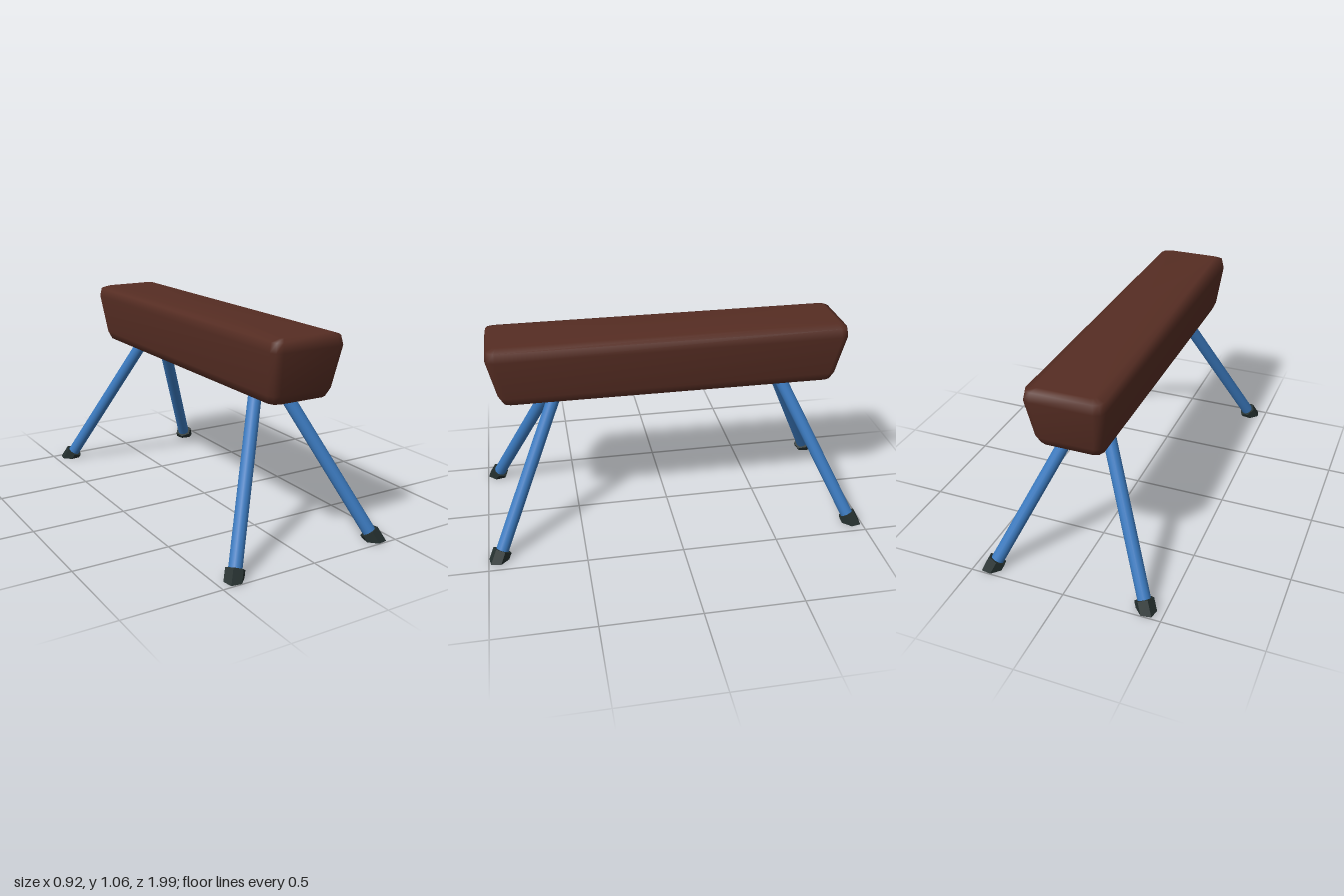
import * as THREE from 'three';

const leather = new THREE.MeshStandardMaterial({ color: 0x562d23 });
leather.name = 'brown leather';
const paint = new THREE.MeshStandardMaterial({ color: 0x3b7abf });
paint.name = 'blue paint';
const rubber = new THREE.MeshStandardMaterial({ color: 0x25302f, flatShading: true });
rubber.name = 'dark rubber';

// Padded body: rounded rectangles stacked from bottom to top, [y, halfX, halfZ, cornerRadius]
function paddedBody() {
  const rings = [
    [0.735, 0.112, 0.81, 0.02],
    [0.75, 0.157, 0.86, 0.04],
    [0.793, 0.175, 0.881, 0.045],
    [1.0, 0.198, 0.928, 0.045],
    [1.046, 0.188, 0.919, 0.04],
    [1.06, 0.146, 0.888, 0.02],
  ];
  const pos = [], index = [], n = 12;
  for (const [y, hx, hz, r] of rings) {
    for (let c = 0; c < 4; c++) {
      const sx = c === 0 || c === 3 ? 1 : -1, sz = c < 2 ? 1 : -1;
      for (let k = 0; k < 3; k++) {
        const a = (c + k / 2) * Math.PI / 2;
        pos.push(sx * (hx - r) + r * Math.cos(a), y, sz * (hz - r) + r * Math.sin(a));
      }
    }
  }
  const last = (rings.length - 1) * n, bottom = rings.length * n, top = bottom + 1;
  pos.push(0, rings[0][0], 0, 0, rings[rings.length - 1][0], 0);
  for (let j = 0; j < n; j++) {
    const k = (j + 1) % n;
    for (let i = 0; i < last; i += n) {
      index.push(i + j, i + n + j, i + k, i + k, i + n + j, i + n + k);
    }
    index.push(bottom, j, k, top, last + k, last + j);
  }
  const geo = new THREE.BufferGeometry();
  geo.setAttribute('position', new THREE.Float32BufferAttribute(pos, 3));
  geo.setIndex(index);
  geo.computeVertexNormals();
  return geo;
}

// Splayed leg with a six-sided rubber foot cut flat on the floor
function makeLeg(sx, sz) {
  const leg = new THREE.Group();
  const ground = new THREE.Vector3(sx * 0.41, 0, sz * 0.947);
  const dir = new THREE.Vector3(-sx * 0.452, 1, -sz * 0.47);
  const at = (y) => ground.clone().addScaledVector(dir, y);
  const yAxis = dir.clone().normalize();
  const zAxis = new THREE.Vector3(-dir.x, 0, -dir.z);
  zAxis.addScaledVector(yAxis, -zAxis.dot(yAxis)).normalize();
  const xAxis = new THREE.Vector3().crossVectors(yAxis, zAxis);
  const frame = new THREE.Matrix4().makeBasis(xAxis, yAxis, zAxis);

  const low = at(0.03), high = at(0.8);
  const tubeGeo = new THREE.CylinderGeometry(0.033, 0.033, low.distanceTo(high), 16);
  tubeGeo.applyMatrix4(frame.clone().setPosition(low.clone().lerp(high, 0.5)));
  const tube = new THREE.Mesh(tubeGeo, paint);
  tube.name = 'legTube';

  const footGeo = new THREE.CylinderGeometry(0.049, 0.049, 0.1, 6);
  footGeo.translate(0, -0.05, 0);
  footGeo.applyMatrix4(frame.clone().setPosition(at(0.042)));
  // Slide the lower ring along the leg until it meets the floor
  const p = footGeo.attributes.position, v = new THREE.Vector3();
  for (let i = 0; i < p.count; i++) {
    v.fromBufferAttribute(p, i);
    if (v.y < 0) v.addScaledVector(dir, -v.y);
    p.setXYZ(i, v.x, v.y, v.z);
  }
  footGeo.computeVertexNormals();
  const foot = new THREE.Mesh(footGeo, rubber);
  foot.name = 'rubberFoot';

  leg.add(tube, foot);
  leg.name = (sz > 0 ? 'front' : 'back') + (sx > 0 ? 'Left' : 'Right') + 'Leg';
  return leg;
}

export function createModel() {
  const model = new THREE.Group();
  model.name = 'vaultingHorse';
  const body = new THREE.Mesh(paddedBody(), leather);
  body.name = 'paddedBody';
  model.add(body);
  for (const sx of [1, -1]) for (const sz of [1, -1]) model.add(makeLeg(sx, sz));
  return model;
}
